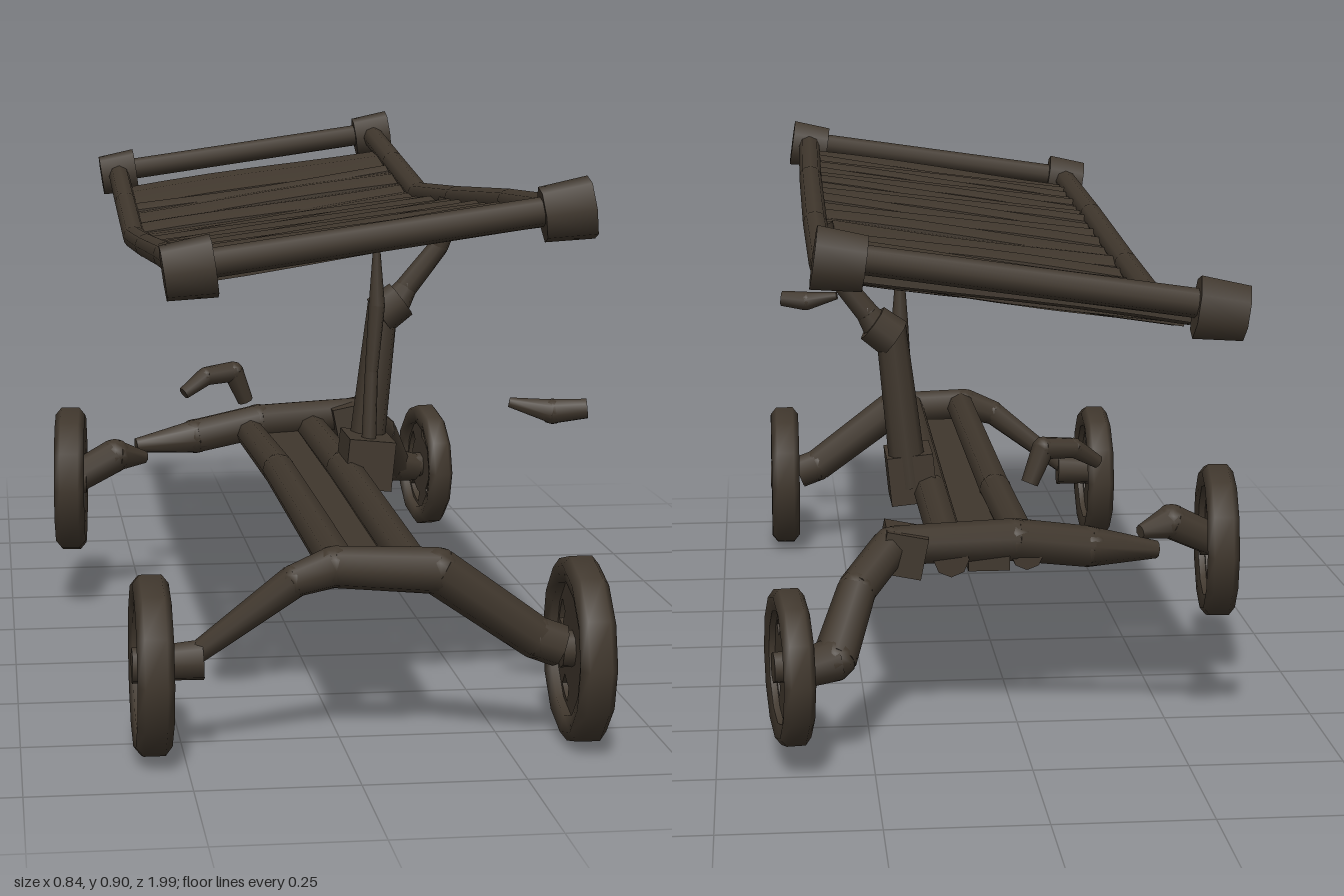
import * as THREE from 'three';

const iron = new THREE.MeshStandardMaterial({ color: 0x40372d });
iron.name = 'dark iron';

const V = (p) => new THREE.Vector3(...p);

function add(parent, geometry, name) {
  const m = new THREE.Mesh(geometry, iron);
  m.name = name;
  parent.add(m);
  return m;
}

// Tapered bar between two points
function bar(parent, a, b, r1, r2, name, sides = 8) {
  const A = V(a), B = V(b), d = B.clone().sub(A);
  const m = add(parent, new THREE.CylinderGeometry(r2, r1, d.length(), sides), name);
  m.position.copy(A).add(B).multiplyScalar(0.5);
  m.quaternion.setFromUnitVectors(new THREE.Vector3(0, 1, 0), d.normalize());
  return m;
}

// Chain of bars with rounded joints; each point is [x, y, z, radius]
function chain(parent, pts, name) {
  const g = new THREE.Group();
  g.name = name;
  pts.forEach((p, i) => {
    if (i) {
      const q = pts[i - 1];
      bar(g, q.slice(0, 3), p.slice(0, 3), q[3], p[3], name + 'Bar');
      if (i < pts.length - 1) add(g, new THREE.SphereGeometry(p[3], 8, 6), name + 'Joint').position.set(p[0], p[1], p[2]);
    }
  });
  parent.add(g);
  return g;
}

function block(parent, size, pos, name, tilt = 0) {
  const m = add(parent, new THREE.BoxGeometry(...size), name);
  m.position.set(...pos);
  m.rotation.z = tilt;
  return m;
}

// Height of the tilted, slightly bent bed at a given x and z
const BEND = [[-1, 0.775], [-0.7, 0.728], [-0.4, 0.685], [0, 0.708], [0.5, 0.742], [1, 0.77]];
function bedY(x, z) {
  let i = 0;
  while (i < BEND.length - 2 && z > BEND[i + 1][0]) i++;
  const [z0, y0] = BEND[i], [z1, y1] = BEND[i + 1];
  return y0 + (y1 - y0) * (z - z0) / (z1 - z0) + (x + 0.25) / 0.56 * 0.08;
}

function buildBed() {
  const bed = new THREE.Group();
  bed.name = 'bed';
  // Side rails
  for (const [x, bulge] of [[-0.25, 0], [0.305, 0.012]]) {
    const zs = [-0.975, -0.7, -0.4, 0, 0.5, 0.965];
    chain(bed, zs.map((z) => {
      const px = x + bulge * (1 - z * z);
      return [px, bedY(px, z), z, 0.022];
    }), 'sideRail');
  }
  // End bars and corner caps
  for (const z of [-0.97, 0.96]) {
    bar(bed, [-0.25, bedY(-0.25, z) + 0.005, z], [0.305, bedY(0.305, z) + 0.005, z], 0.022, 0.022, 'endBar');
    for (const x of [-0.25, 0.305]) {
      const cap = add(bed, new THREE.CylinderGeometry(0.042, 0.048, 0.075, 7), 'cornerCap');
      cap.position.set(x, bedY(x, z), z);
      cap.rotation.z = 0.14 + Math.PI / 2;
      cap.scale.z = 0.7;
    }
  }
  // Slats: each row is [edge z, gap at left end, gap at right end]
  const edges = [
    [-0.86, 0, 0], [-0.69, 0.004, 0.012], [-0.645, 0, 0.008], [-0.54, 0.018, 0], [-0.45, 0, 0.003],
    [-0.34, 0.003, 0], [-0.27, 0, 0.004], [-0.19, 0.01, 0.006], [-0.1, 0.008, 0.004], [-0.02, 0.01, 0.003],
    [0.1, 0.008, 0], [0.19, 0, 0.005], [0.28, 0.013, 0.002], [0.35, 0.018, 0.003], [0.43, 0.014, 0.003],
    [0.49, 0.018, 0.004], [0.55, 0.003, 0.014], [0.62, 0.014, 0.004], [0.675, 0.012, 0.008],
    [0.73, 0.018, 0.01], [0.78, 0.012, 0.012], [0.83, 0.014, 0.006], [0.9, 0, 0],
  ];
  for (let i = 0; i < edges.length - 1; i++) {
    const [za, la, ra] = edges[i], [zb, lb, rb] = edges[i + 1];
    const geo = new THREE.BoxGeometry(0.56, 0.016, 1, 6, 1, 2);
    const p = geo.attributes.position;
    for (let k = 0; k < p.count; k++) {
      const u = p.getX(k) / 0.56 + 0.5, t = p.getZ(k) + 0.5, x = -0.25 + u * 0.56;
      const z0 = za + (la + (ra - la) * u) / 2, z1 = zb - (lb + (rb - lb) * u) / 2;
      const z = z0 + (z1 - z0) * t;
      const ripple = (t === 0.5 ? 0.006 : -0.003) + 0.003 * Math.sin(i * 2.3 + u * 5);
      p.setXYZ(k, x, bedY(x, z) - 0.012 + p.getY(k) + ripple, z);
    }
    geo.computeVertexNormals();
    add(bed, geo, 'slat');
  }
  return bed;
}

// Wheel lying in the y-z plane; holes are cut between the spokes
function wheel(parent, pos, r, width, yaw, hole, name) {
  const g = new THREE.Group();
  g.name = name;
  const h = width / 2, ri = r * 0.72;
  const profile = [[ri, -h * 0.8], [r * 0.9, -h], [r, -h * 0.6], [r, h * 0.6], [r * 0.9, h], [ri, h * 0.8], [ri, -h * 0.8]];
  const tyre = new THREE.LatheGeometry(profile.map((p) => new THREE.Vector2(...p)), 12);
  add(g, tyre, 'tyre').rotation.z = Math.PI / 2;
  const disc = new THREE.Shape().absarc(0, 0, ri * 1.03, 0, Math.PI * 2);
  for (let i = 0; i < 4; i++) {
    const a = i * Math.PI / 2 + 0.5;
    const cut = new THREE.Path();
    cut.absarc(0, 0, ri * 0.9, a - hole, a + hole, false);
    cut.absarc(0, 0, ri * (hole > 0.4 ? 0.42 : 0.66), a + hole, a - hole, true);
    cut.closePath();
    disc.holes.push(cut);
  }
  const discGeo = new THREE.ExtrudeGeometry(disc, { depth: width * 0.4, bevelEnabled: false, curveSegments: 6 });
  discGeo.translate(0, 0, -width * 0.2).rotateY(Math.PI / 2);
  add(g, discGeo, 'wheelDisc');
  add(g, new THREE.CylinderGeometry(r * 0.2, r * 0.2, width * 1.05, 8), 'hub').rotation.z = Math.PI / 2;
  g.position.set(...pos);
  g.rotation.y = yaw;
  parent.add(g);
}

export function createModel() {
  const model = new THREE.Group();
  model.name = 'wheeledLounger';
  model.add(buildBed());

  // Chassis: long twin beams and a lower filler
  const chassis = new THREE.Group();
  chassis.name = 'chassis';
  model.add(chassis);
  chain(chassis, [[-0.01, 0.292, 0.83, 0.03], [-0.01, 0.29, 0, 0.03], [-0.02, 0.285, -0.47, 0.028]], 'leftBeam');
  chain(chassis, [[0.1, 0.292, 0.83, 0.03], [0.11, 0.29, 0, 0.032], [0.11, 0.285, -0.5, 0.03]], 'rightBeam');
  block(chassis, [0.07, 0.025, 1.2], [0.045, 0.272, 0.12], 'beamWeb');

  // Front axle arch
  chain(chassis, [[0.34, 0.155, 0.81, 0.034], [0.3, 0.17, 0.81, 0.034], [0.14, 0.285, 0.83, 0.037],
    [-0.02, 0.295, 0.83, 0.033], [-0.08, 0.275, 0.83, 0.026], [-0.23, 0.16, 0.81, 0.017]], 'frontAxle');
  bar(chassis, [-0.22, 0.15, 0.81], [-0.32, 0.145, 0.81], 0.032, 0.026, 'frontLeftStub');

  // Rear axle, ending short on one side
  chain(chassis, [[0.36, 0.16, -0.69, 0.03], [0.31, 0.17, -0.67, 0.036], [0.27, 0.26, -0.58, 0.032], [0.21, 0.312, -0.5, 0.032],
    [0, 0.305, -0.45, 0.036], [-0.13, 0.283, -0.42, 0.035], [-0.25, 0.27, -0.4, 0.015]], 'rearAxle');
  block(chassis, [0.07, 0.07, 0.1], [0.19, 0.3, -0.48], 'rearBracket', 0.2);
  chain(chassis, [[-0.38, 0.24, -0.22, 0.03], [-0.3, 0.28, -0.24, 0.032], [-0.24, 0.27, -0.27, 0.012]], 'looseStub');

  // Wheels
  wheel(model, [0.37, 0.15, 0.81], 0.148, 0.058, 0, 0.22, 'frontRightWheel');
  wheel(model, [-0.3, 0.145, 0.815], 0.142, 0.056, 0, 0.22, 'frontLeftWheel');
  wheel(model, [0.382, 0.165, -0.69], 0.128, 0.05, 0.13, 0.38, 'rearRightWheel');
  wheel(model, [-0.385, 0.24, -0.22], 0.138, 0.056, -0.07, 0.55, 'rearLeftWheel');

  // Support post and arm up to the rail
  const post = new THREE.Group();
  post.name = 'support';
  model.add(post);
  block(post, [0.085, 0.09, 0.13], [0.145, 0.315, 0.045], 'postBase', -0.1);
  bar(post, [0.148, 0.3, 0.01], [0.182, 0.6, 0.005], 0.034, 0.028, 'post');
  bar(post, [0.175, 0.575, 0.005], [0.215, 0.605, 0.005], 0.038, 0.036, 'postHead');
  chain(post, [[0.2, 0.59, 0.005, 0.03], [0.225, 0.625, 0, 0.021], [0.285, 0.7, 0, 0.018], [0.31, 0.785, 0, 0.026]], 'supportArm');
  chain(post, [[0.145, 0.31, 0.075, 0.014], [0.152, 0.48, 0.065, 0.012], [0.162, 0.6, 0.06, 0.015], [0.161, 0.725, 0.06, 0.005]], 'spike');

  // Loose curved handle and small fragment
  chain(model, [[-0.165, 0.395, -0.26, 0.012], [-0.12, 0.425, -0.28, 0.018], [-0.065, 0.43, -0.3, 0.02], [-0.04, 0.37, -0.31, 0.015]], 'curvedHandle');
  chain(model, [[0.255, 0.54, 0.8, 0.008], [0.32, 0.527, 0.815, 0.02], [0.372, 0.532, 0.825, 0.016]], 'fragment');
  return model;
}
